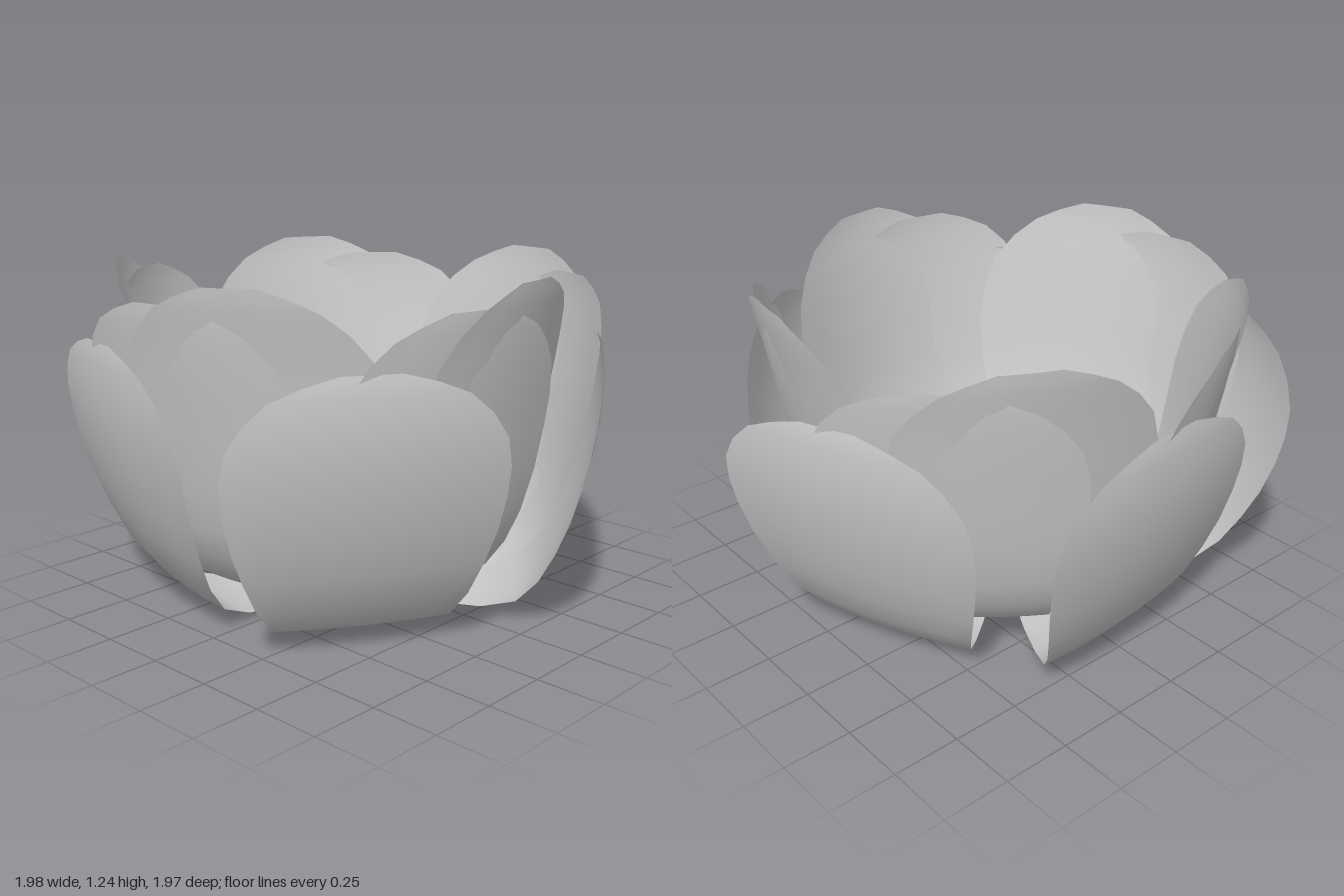
import * as THREE from 'three';

const material = new THREE.MeshStandardMaterial({ color: 0xcccccc, side: THREE.DoubleSide });

// Each ring: azimuth of its first petal, cup depth, sideways twist, and
// the petal's midline as [radius, height, half width] from base to tip.
const RINGS = [
  {
    name: 'outerPetal', azimuth: 31, cup: 0.05, twist: 9,
    spine: [[0, 0, 0], [0.38, 0, 0.18], [0.66, 0.08, 0.31], [0.8, 0.3, 0.405],
      [0.885, 0.55, 0.465], [0.925, 0.76, 0.455], [0.93, 0.92, 0.32], [0.92, 0.995, 0.1]],
  },
  {
    name: 'middlePetal', azimuth: -18, cup: 0.085, twist: 9,
    spine: [[0, 0.02, 0], [0.38, 0.07, 0.18], [0.6, 0.17, 0.3], [0.72, 0.38, 0.39],
      [0.795, 0.7, 0.45], [0.84, 0.93, 0.43], [0.865, 1.09, 0.3], [0.87, 1.165, 0.1]],
  },
  {
    name: 'innerPetal', azimuth: 1, cup: 0.09, twist: 8,
    spine: [[0, 0.04, 0], [0.36, 0.1, 0.18], [0.56, 0.2, 0.29], [0.68, 0.43, 0.39],
      [0.755, 0.75, 0.455], [0.805, 1.0, 0.42], [0.84, 1.16, 0.28], [0.85, 1.235, 0.1]],
  },
];

// Petal facing +z: sweep cupped cross-sections along the midline
function petalGeometry({ spine, cup, twist }) {
  const curve = new THREE.CatmullRomCurve3(spine.map(p => new THREE.Vector3(...p)));
  const geometry = new THREE.PlaneGeometry(2, 1, 8, 14);
  const pos = geometry.attributes.position;
  const angle = THREE.MathUtils.degToRad(twist);
  for (let i = 0; i < pos.count; i++) {
    const { x: radius, y: height, z: halfWidth } = curve.getPoint(pos.getY(i) + 0.5);
    const side = pos.getX(i) * halfWidth;
    const bend = cup * (side / 0.45) ** 2;
    pos.setXYZ(i,
      side * Math.cos(angle),
      Math.max(0, height),
      radius - bend - side * Math.sin(angle));
  }
  geometry.computeVertexNormals();
  return geometry;
}

export function createModel() {
  const flower = new THREE.Group();
  flower.name = 'flower';

  // Three rings of five petals around a slightly off-centre axis
  for (const ring of RINGS) {
    const geometry = petalGeometry(ring);
    for (let k = 0; k < 5; k++) {
      const petal = new THREE.Mesh(geometry, material);
      petal.name = ring.name + (k + 1);
      petal.position.set(-0.02, 0, -0.07);
      petal.rotation.y = THREE.MathUtils.degToRad(ring.azimuth + 72 * k);
      flower.add(petal);
    }
  }
  return flower;
}
